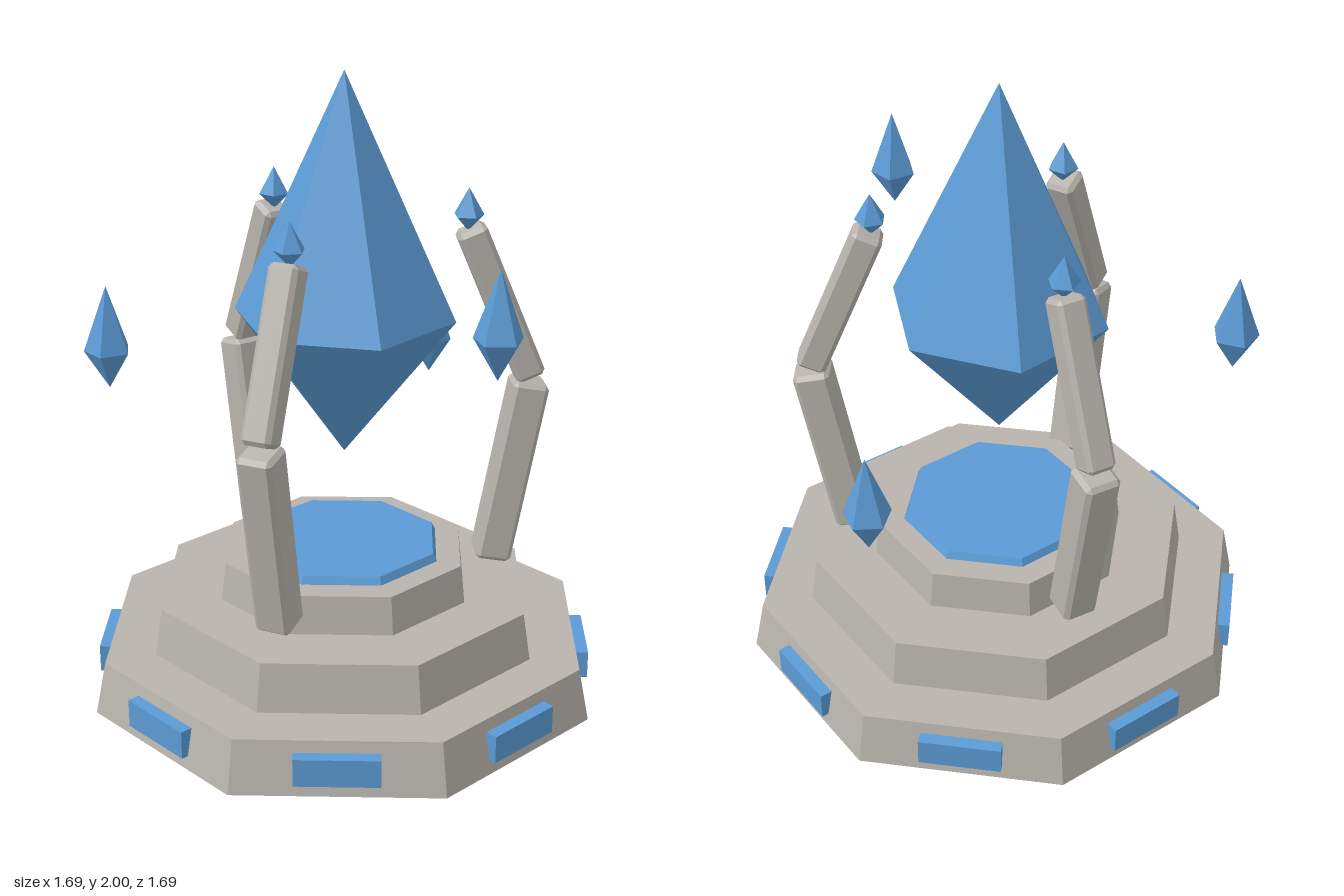
import * as THREE from 'three';
import { ConvexGeometry } from 'three/addons/geometries/ConvexGeometry.js';

const mat = (name, color) => {
  const m = new THREE.MeshStandardMaterial({ color, flatShading: true });
  m.name = name;
  return m;
};

// Double-pointed gem with its tip, girdle and foot at the given heights
function gemGeometry(radius, foot, girdle, tip, sides, turn) {
  const profile = [[0, foot], [radius, girdle], [0, tip]].map(([x, y]) => new THREE.Vector2(x, y));
  return new THREE.LatheGeometry(profile, sides, turn);
}

// Box with every edge cut by a single chamfer
function chamferBox(w, h, d, cut) {
  const half = [w / 2, h / 2, d / 2];
  const points = [];
  for (const sx of [-1, 1]) for (const sy of [-1, 1]) for (const sz of [-1, 1]) {
    for (let full = 0; full < 3; full++) {
      const c = half.map((v, i) => (i === full ? v : v - cut));
      points.push(new THREE.Vector3(sx * c[0], sy * c[1], sz * c[2]));
    }
  }
  return new ConvexGeometry(points);
}

export function createModel() {
  const model = new THREE.Group();
  model.name = 'crystalPedestal';
  const stone = mat('stone', 0xb8b4ad);
  const crystal = mat('crystalBlue', 0x5b9bd5);

  function add(name, geometry, material, parent = model) {
    const mesh = new THREE.Mesh(geometry, material);
    mesh.name = name;
    parent.add(mesh);
    return mesh;
  }

  // Stepped octagonal base and the glowing plate on top
  const tiers = [
    ['lowerTier', 0.81, 0.845, 0, 0.17, stone],
    ['middleTier', 0.62, 0.645, 0.17, 0.325, stone],
    ['upperTier', 0.405, 0.42, 0.325, 0.45, stone],
    ['topPlate', 0.31, 0.322, 0.45, 0.475, crystal],
  ];
  for (const [name, top, bottom, y0, y1, material] of tiers) {
    add(name, new THREE.CylinderGeometry(top, bottom, y1 - y0, 8), material).position.y = (y0 + y1) / 2;
  }

  // One inlaid panel on each face of the lower tier
  for (let i = 0; i < 8; i++) {
    const angle = (i + 0.5) * Math.PI / 4;
    const panel = add('basePanel', new THREE.BoxGeometry(0.26, 0.09, 0.05), crystal);
    panel.position.set(Math.sin(angle) * 0.77, 0.087, Math.cos(angle) * 0.77);
    panel.rotation.y = angle;
  }

  // Large floating crystal
  add('mainCrystal', gemGeometry(0.352, 0.78, 1.235, 2, 6, -Math.PI / 10), crystal);

  // Three jointed arms, each with a gem at its tip
  const segments = [
    ['lowerArm', 0.482, 0.39, 0.593, 1.0, 0.117],
    ['upperArm', 0.594, 1.015, 0.389, 1.505, 0.096],
  ];
  for (let i = 0; i < 3; i++) {
    const arm = new THREE.Group();
    arm.name = 'arm';
    arm.rotation.y = i * Math.PI * 2 / 3;
    model.add(arm);
    for (const [name, z0, y0, z1, y1, width] of segments) {
      const length = Math.hypot(z1 - z0, y1 - y0);
      const part = add(name, chamferBox(width, length, width, 0.014), stone, arm);
      part.position.set(0, (y0 + y1) / 2, (z0 + z1) / 2);
      part.rotation.x = Math.atan2(z1 - z0, y1 - y0);
    }
    add('armGem', gemGeometry(0.049, 1.495, 1.545, 1.632, 5, 0), crystal, arm).position.z = 0.384;
  }

  // Small shards hovering around the base at different heights
  for (const [degrees, foot] of [[60, 1.237], [180, 0.807], [-60, 1.024]]) {
    const orbit = new THREE.Group();
    orbit.name = 'shardPivot';
    orbit.rotation.y = THREE.MathUtils.degToRad(degrees);
    model.add(orbit);
    const shard = add('floatingShard', gemGeometry(0.075, 0, 0.121, 0.329, 5, 0), crystal, orbit);
    shard.position.set(0, foot, 0.732);
  }

  return model;
}
